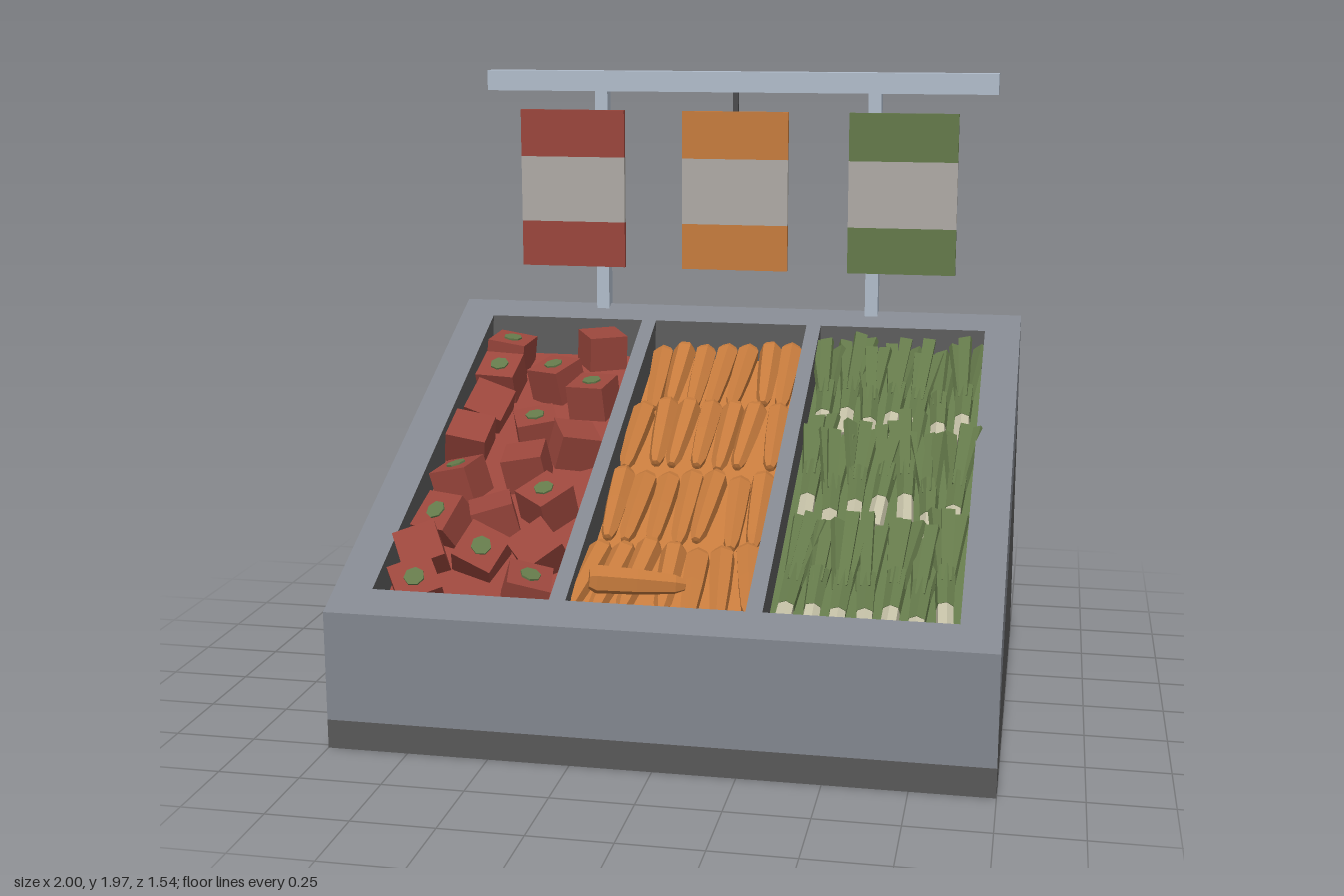
import * as THREE from 'three';

const mat = (name, color, side = THREE.FrontSide) =>
  Object.assign(new THREE.MeshStandardMaterial({ color, side, flatShading: true }), { name });

const FRONT = 0.77, BACK = -0.73, SLOPE = 0.473, DEPTH = 0.12;
const TILT = Math.atan(SLOPE);
const rimY = (z) => 0.43 + SLOPE * (FRONT - z);

export function createModel() {
  const M = {
    panel: mat('panel grey', 0x82868e, THREE.DoubleSide),
    base: mat('base charcoal', 0x585858, THREE.DoubleSide),
    steel: mat('steel', 0xb0bccb),
    hook: mat('hook grey', 0x4a4a4c),
    red: mat('red', 0x9a463c, THREE.DoubleSide),
    orange: mat('orange', 0xc67b3d, THREE.DoubleSide),
    green: mat('green', 0x64794a, THREE.DoubleSide),
    white: mat('banner white', 0xaeaaa5),
    cream: mat('stem cream', 0xc4c0a6),
  };
  const root = new THREE.Group();
  root.name = 'produceStand';

  let seed = 11;
  const rnd = (s = 1) => {
    seed = (seed * 16807) % 2147483647;
    return (seed / 2147483647 - 0.5) * 2 * s;
  };
  const add = (parent, geo, material, name, x = 0, y = 0, z = 0) => {
    const m = new THREE.Mesh(geo, material);
    m.name = name;
    m.position.set(x, y, z);
    parent.add(m);
    return m;
  };
  const group = (parent, name) => {
    const g = new THREE.Group();
    g.name = name;
    parent.add(g);
    return g;
  };
  const box = (w, h, d) => new THREE.BoxGeometry(w, h, d);
  const quad = (parent, name, material, a, b, c, d) => {
    const g = new THREE.BufferGeometry();
    g.setAttribute('position', new THREE.Float32BufferAttribute([...a, ...b, ...c, ...d], 3));
    g.setIndex([0, 1, 2, 0, 2, 3]);
    g.computeVertexNormals();
    return add(parent, g, material, name);
  };

  // Wedge body: charcoal base with a grey band around the top
  const body = group(root, 'body');
  quad(body, 'frontBase', M.base, [-1, 0, FRONT], [1, 0, FRONT], [1, 0.09, FRONT], [-1, 0.09, FRONT]);
  quad(body, 'frontPanel', M.panel, [-1, 0.09, FRONT], [1, 0.09, FRONT], [1, 0.43, FRONT], [-1, 0.43, FRONT]);
  quad(body, 'backPanel', M.base, [1, 0, BACK], [-1, 0, BACK], [-1, rimY(BACK), BACK], [1, rimY(BACK), BACK]);
  quad(body, 'underside', M.base, [-1, 0, BACK], [1, 0, BACK], [1, 0, FRONT], [-1, 0, FRONT]);
  for (const s of [-1, 1]) {
    const side = (name, m, f0, b0, f1, b1) => {
      const p = [[s, f0, FRONT], [s, b0, BACK], [s, b1, BACK], [s, f1, FRONT]];
      quad(body, name, m, ...(s > 0 ? p : p.reverse()));
    };
    side('sideBase', M.base, 0, 0, 0.17, 0.85);
    side('sideBand', M.panel, 0.17, 0.85, 0.43, rimY(BACK));
  }

  // Sloping rim with three bin openings
  const bins = [
    { name: 'redBin', x0: -0.88, x1: -0.33, m: M.red },
    { name: 'orangeBin', x0: -0.28, x1: 0.26, m: M.orange },
    { name: 'greenBin', x0: 0.31, x1: 0.88, m: M.green },
  ];
  const zb = -0.64, zf = 0.67;
  const rect = (Type, x0, x1, z0, z1) => new Type([
    new THREE.Vector2(x0, -z1), new THREE.Vector2(x1, -z1),
    new THREE.Vector2(x1, -z0), new THREE.Vector2(x0, -z0)]);
  const rimShape = rect(THREE.Shape, -1, 1, BACK, FRONT);
  for (const b of bins) rimShape.holes.push(rect(THREE.Path, b.x0, b.x1, zb, zf));
  const rim = new THREE.ShapeGeometry(rimShape).rotateX(-Math.PI / 2);
  const rp = rim.attributes.position;
  for (let i = 0; i < rp.count; i++) rp.setY(i, rimY(rp.getZ(i)));
  rim.computeVertexNormals();
  add(body, rim, M.panel, 'slopingRim');

  // Bin walls and coloured floors
  for (const { name, x0, x1, m } of bins) {
    const g = group(root, name);
    const top = [[x0, zb], [x1, zb], [x1, zf], [x0, zf]].map(([x, z]) => [x, rimY(z), z]);
    const low = [[x0, -0.62], [x1, -0.62], [x1, zf], [x0, zf]].map(([x, z]) => [x, rimY(z) - DEPTH, z]);
    for (let i = 0; i < 4; i++) {
      const j = (i + 1) % 4;
      quad(g, 'binWall', M.base, low[i], low[j], top[j], top[i]);
    }
    quad(g, 'binFloor', m, low[3], low[2], low[1], low[0]);
  }

  // Tilted bed that holds the produce; y is height above the bin floors
  const bed = group(root, 'produce');
  bed.position.y = rimY(0) - DEPTH;
  bed.rotation.x = TILT;
  const place = (o, x, z, h) => o.position.set(x, h, z / Math.cos(TILT) - h * SLOPE);

  // Red blocks: x, z, green cap showing
  const blocks = [
    [-0.78, -0.52, 1], [-0.45, -0.53, 0], [-0.78, -0.39, 1], [-0.58, -0.39, 1], [-0.43, -0.31, 1],
    [-0.78, -0.23, 0], [-0.58, -0.13, 1], [-0.8, -0.08, 0], [-0.44, -0.07, 0], [-0.57, 0.04, 0],
    [-0.77, 0.12, 1], [-0.46, 0.2, 1], [-0.77, 0.3, 1], [-0.61, 0.28, 0], [-0.61, 0.43, 1],
    [-0.43, 0.41, 0], [-0.8, 0.44, 0], [-0.43, 0.57, 1], [-0.77, 0.58, 1]];
  const blockGeo = box(0.135, 0.12, 0.135);
  const capGeo = new THREE.CylinderGeometry(0.032, 0.032, 0.008, 7);
  blocks.forEach(([x, z, cap], i) => {
    const g = group(bed, 'redBlock');
    add(g, blockGeo, M.red, 'block');
    if (cap) add(g, capGeo, M.green, 'greenCap', 0, 0.062, 0);
    place(g, x, z, i === 1 ? 0.075 : 0.055);
    g.rotation.set(rnd(0.35), rnd(0.8), rnd(0.35));
  });

  // Orange roots: four rows of tapered six-sided pieces
  const rootGeo = new THREE.LatheGeometry(
    [[0, 0], [0.028, 0], [0.04, 0.025], [0.036, 0.16], [0.027, 0.29], [0.015, 0.325], [0, 0.327]]
      .map(([r, y]) => new THREE.Vector2(r, y)).reverse(), 6).rotateX(Math.PI / 2);
  [-0.61, -0.29, 0.04, 0.35].forEach((z, row) => {
    for (let i = 0; i < 7; i++) {
      const m = add(bed, rootGeo, M.orange, 'orangeRoot');
      place(m, -0.24 + i * 0.076, z + rnd(0.012), 0.045 + rnd(0.012));
      const fan = row === 3 ? (3 - i) * -0.07 : 0;
      m.rotation.set(rnd(0.06), -fan * -1 + rnd(0.06), rnd(0.5));
      if (row === 3) m.scale.z = 0.93;
    }
  });
  const loose = add(root, rootGeo, M.orange, 'looseOrangeRoot', -0.21, 0.545, 0.655);
  loose.rotation.set(0.1, Math.PI / 2 + 0.27, 0, 'YXZ');
  loose.scale.set(1.15, 1.1, 0.88);

  // Leeks: cream stems toward the front, fanned green blades behind
  const stemGeo = new THREE.CylinderGeometry(0.028, 0.026, 0.13, 6).rotateX(Math.PI / 2);
  const neckGeo = new THREE.CylinderGeometry(0.028, 0.034, 0.15, 6).rotateX(Math.PI / 2);
  const bladeGeo = box(0.042, 0.022, 0.27).translate(0, 0, -0.135);
  const bp = bladeGeo.attributes.position;
  for (let i = 0; i < bp.count; i++) if (bp.getZ(i) > -0.1) bp.setX(i, bp.getX(i) * 0.7);
  bladeGeo.computeVertexNormals();
  for (const z of [-0.3, 0.12, 0.54]) {
    for (let i = 0; i < 7; i++) {
      const g = group(bed, 'leek');
      add(g, stemGeo, M.cream, 'stem', 0, 0, 0.06);
      add(g, neckGeo, M.green, 'neck', 0, 0, -0.075);
      for (let k = -1; k <= 1; k++) {
        const b = add(g, bladeGeo, M.green, 'blade', k * 0.012, k ? 0 : 0.016, -0.09);
        b.rotation.set(0.06 + rnd(0.08), -k * 0.1 + rnd(0.04), k * 0.4 + rnd(0.3));
        b.scale.z = 0.95 + rnd(0.08);
      }
      place(g, 0.365 + i * 0.077, z + rnd(0.04), 0.042 + rnd(0.012));
      g.rotation.set(0.08, rnd(0.08), rnd(0.3));
    }
  }

  // Posts and top beam
  for (const x of [-0.487, 0.48]) add(root, box(0.045, 1.9, 0.05), M.steel, 'post', x, 0.95, -0.725);
  add(root, box(1.8, 0.07, 0.075), M.steel, 'topBeam', 0, 1.935, -0.7325);

  // Striped banners and the middle hanger
  [[-0.587, M.red], [-0.004, M.orange], [0.583, M.green]].forEach(([x, m]) => {
    const g = group(root, 'banner');
    g.position.set(x, 0, -0.683);
    add(g, box(0.375, 0.165, 0.018), m, 'topStripe', 0, 1.7525, 0);
    add(g, box(0.375, 0.23, 0.018), M.white, 'middleStripe', 0, 1.555, 0);
    add(g, box(0.375, 0.16, 0.018), m, 'bottomStripe', 0, 1.36, 0);
  });
  add(root, box(0.018, 0.1, 0.014), M.hook, 'bannerHook', -0.004, 1.85, -0.699);

  return root;
}
